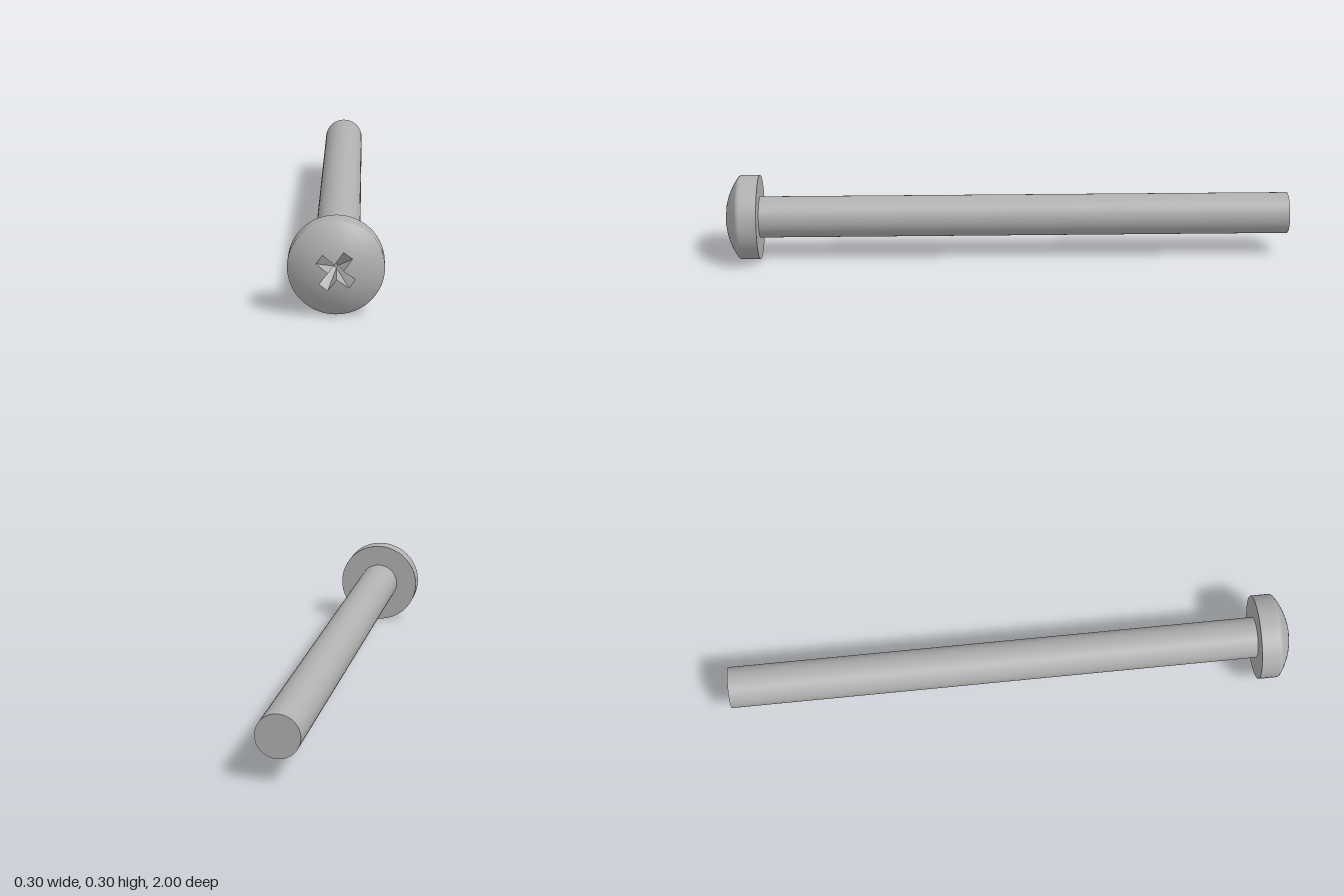
import * as THREE from 'three';

const HEAD_R = 0.15, SHAFT_R = 0.073, HEAD_BACK = 0.88, AXIS_Y = 0.15;
const STEPS = 8; // subdivisions of each edge of the cross outline

// Height of the domed face at radius r
const DOME_R = 0.246;
const domeZ = r => 1.001 - DOME_R + Math.sqrt(DOME_R * DOME_R - r * r);

// Outline of the cross recess and its small square floor, sampled together
function crossOutline() {
  const L = 0.063, w = 0.0168, s = 0.005, floorZ = 0.925, turn = THREE.MathUtils.degToRad(53);
  const corners = [];
  for (let k = 0; k < 4; k++) {
    const a = turn + k * Math.PI / 2, origin = new THREE.Vector2();
    const at = (x, y) => new THREE.Vector2(x, y).rotateAround(origin, a);
    corners.push({ top: at(L, -w), low: at(s, -s) }, { top: at(L, w), low: at(s, s) }, { top: at(w, w), low: at(s, s) });
  }
  const top = [], low = [];
  corners.forEach((c, i) => {
    const n = corners[(i + 1) % corners.length];
    for (let k = 0; k < STEPS; k++) {
      const p = c.top.clone().lerp(n.top, k / STEPS), q = c.low.clone().lerp(n.low, k / STEPS);
      top.push(new THREE.Vector3(p.x, p.y, domeZ(p.length())));
      low.push(new THREE.Vector3(q.x, q.y, floorZ));
    }
  });
  return { top, low, floorZ };
}

// Skin between closed rings listed from the inside outwards
function skin(rings) {
  const n = rings[0].length, index = [];
  for (let r = 0; r < rings.length - 1; r++) {
    for (let i = 0; i < n; i++) {
      const j = (i + 1) % n, a = r * n, b = a + n;
      index.push(a + i, b + i, b + j, a + i, b + j, a + j);
    }
  }
  const geo = new THREE.BufferGeometry().setFromPoints(rings.flat());
  geo.setIndex(index);
  geo.computeVertexNormals();
  return geo;
}

export function createModel() {
  const steel = new THREE.MeshStandardMaterial({ color: 0xb0b0b0 });
  steel.name = 'steel';
  const model = new THREE.Group();
  model.name = 'screw';
  const add = (geo, name, z = 0) => {
    const mesh = new THREE.Mesh(geo, steel);
    mesh.name = name;
    mesh.position.set(0, AXIS_Y, z);
    model.add(mesh);
    return mesh;
  };

  const { top, low, floorZ } = crossOutline();

  // Head: dome around the recess, small rounded edge, straight rim
  const edge = 0.142, rings = [];
  for (let k = 0; k <= 10; k++) {
    rings.push(top.map(p => {
      const a = Math.atan2(p.y, p.x), r = THREE.MathUtils.lerp(Math.hypot(p.x, p.y), edge, k / 10);
      return new THREE.Vector3(Math.cos(a) * r, Math.sin(a) * r, domeZ(r));
    }));
  }
  const edgeZ = domeZ(edge);
  const rim = [[0.1455, edgeZ - 0.0028], [0.1485, edgeZ - 0.0065], [HEAD_R, edgeZ - 0.012],
    [HEAD_R, edgeZ - 0.016], [HEAD_R, HEAD_BACK]];
  for (const [r, z] of rim) {
    rings.push(top.map(p => {
      const a = Math.atan2(p.y, p.x);
      return new THREE.Vector3(Math.cos(a) * r, Math.sin(a) * r, z);
    }));
  }
  add(skin(rings), 'head');

  // Underside of the head
  add(new THREE.RingGeometry(SHAFT_R - 0.003, HEAD_R, 96), 'headUnderside', HEAD_BACK).rotation.y = Math.PI;

  // Cross recess: flat sloping walls and a square floor
  const walls = skin([low, top]).toNonIndexed();
  walls.computeVertexNormals();
  add(walls, 'recessWalls');
  const floor = new THREE.ShapeGeometry(new THREE.Shape([0, 1, 2, 3].map(k => {
    const p = low[k * 3 * STEPS];
    return new THREE.Vector2(p.x, p.y);
  })));
  add(floor, 'recessFloor', floorZ);

  // Plain shaft
  const length = HEAD_BACK + 1;
  const shaft = new THREE.CylinderGeometry(SHAFT_R, SHAFT_R, length, 64);
  shaft.rotateX(Math.PI / 2);
  add(shaft, 'shaft', HEAD_BACK - length / 2);

  return model;
}
